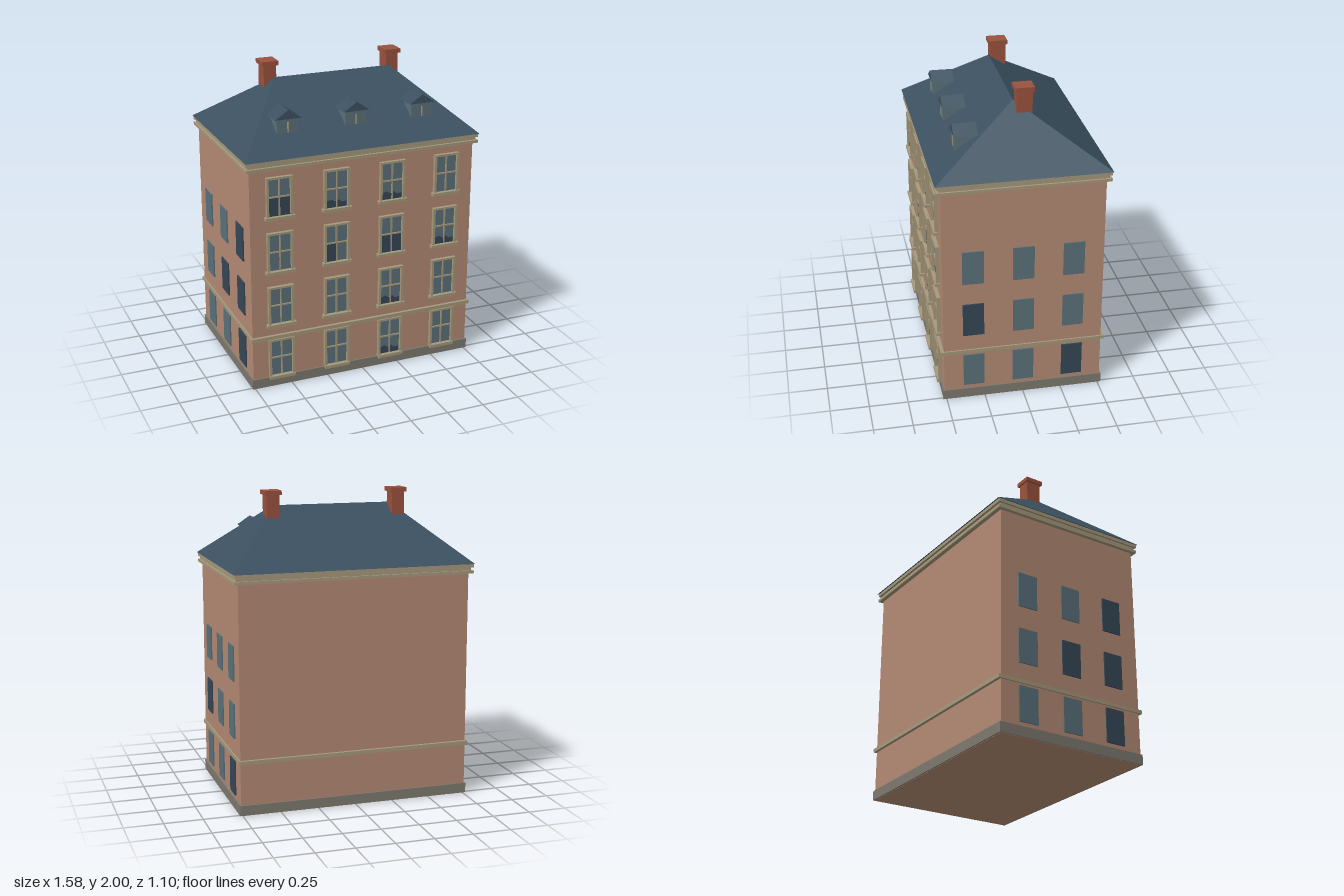
import * as THREE from 'three';

const mat = (name, color) => Object.assign(new THREE.MeshStandardMaterial({ color }), { name });
const M = {
  brick: mat('brick', 0xb48a74),
  stone: mat('trim stone', 0xa6997c),
  plinth: mat('plinth stone', 0x7d796f),
  slate: mat('roof slate', 0x3b5060),
  clay: mat('chimney clay', 0x9a523d),
  glass: mat('glass', 0x5b717a),
  dark: mat('dark glass', 0x354756),
};

function add(parent, name, geometry, material, x = 0, y = 0, z = 0) {
  const mesh = new THREE.Mesh(geometry, material);
  mesh.name = name;
  mesh.position.set(x, y, z);
  parent.add(mesh);
  return mesh;
}

// Box given by its centre in x and z, and its bottom and top in y
function block(parent, name, material, w, y0, y1, d, x = 0, z = 0) {
  return add(parent, name, new THREE.BoxGeometry(w, y1 - y0, d), material, x, (y0 + y1) / 2, z);
}

function group(parent, name, x = 0, y = 0, z = 0) {
  const g = new THREE.Group();
  g.name = name;
  g.position.set(x, y, z);
  parent.add(g);
  return g;
}

const polygon = (pts) => new THREE.Shape(pts.map(([x, y]) => new THREE.Vector2(x, y)));
const extrude = (shape, depth) => new THREE.ExtrudeGeometry(shape, { depth, bevelEnabled: false });

// Hipped roof from its eaves corners and ridge ends
function hippedRoof(w, d, y0, ridge, y1) {
  const P = [[-w, y0, d], [w, y0, d], [w, y0, -d], [-w, y0, -d], [-ridge, y1, 0], [ridge, y1, 0]];
  const faces = [0, 1, 5, 0, 5, 4, 1, 2, 5, 2, 3, 4, 2, 4, 5, 3, 0, 4, 0, 3, 2, 0, 2, 1];
  const g = new THREE.BufferGeometry();
  g.setAttribute('position', new THREE.Float32BufferAttribute(faces.flatMap((i) => P[i]), 3));
  g.computeVertexNormals();
  return g;
}

// Surround with an open middle
const surround = polygon([[-0.086, 0.015], [0.086, 0.015], [0.086, 0.275], [-0.086, 0.275]]);
surround.holes.push(polygon([[-0.071, 0.02], [-0.071, 0.262], [0.071, 0.262], [0.071, 0.02]]));
const surroundGeometry = extrude(surround, 0.024);

// Low dark silhouette behind the lower panes
const shadeGeometry = extrude(polygon([
  [-0.066, 0.02], [0.066, 0.02], [0.066, 0.055], [0.035, 0.052], [0.015, 0.07],
  [-0.01, 0.058], [-0.035, 0.075], [-0.066, 0.065],
]), 0.003);

// kind: p plain, d dark lower sash, l dark lower left pane, s silhouette
function frontWindow(parent, x, y, kind, ground) {
  const w = group(parent, 'frontWindow', x, y, 0.51);
  add(w, 'windowSurround', surroundGeometry, M.stone, 0, 0, 0.002);
  block(w, 'windowSill', M.stone, ground ? 0.172 : 0.194, 0, 0.02, 0.035, 0, 0.0175);
  block(w, 'windowGlass', M.glass, 0.144, 0.018, 0.264, 0.008, 0, 0.004);
  if (kind === 'd') block(w, 'darkSash', M.dark, 0.142, 0.02, 0.14, 0.004, 0, 0.009);
  if (kind === 'l') block(w, 'darkPane', M.dark, 0.071, 0.02, 0.14, 0.004, -0.0355, 0.009);
  if (kind === 's') add(w, 'darkShade', shadeGeometry, M.dark, 0, 0, 0.008);
  block(w, 'mullion', M.stone, 0.009, 0.02, 0.262, 0.012, 0, 0.01);
  block(w, 'transom', M.stone, 0.142, 0.14, 0.149, 0.012, 0, 0.01);
}

function dormer(parent, x) {
  const d = group(parent, 'dormer', x, 0, 0);
  block(d, 'dormerBody', M.glass, 0.145, 1.64, 1.737, 0.14, 0, 0.312);
  block(d, 'dormerMullion', M.stone, 0.009, 1.65, 1.715, 0.006, 0, 0.384);
  const gable = polygon([[-0.087, 1.735], [0.087, 1.735], [0, 1.793]]);
  add(d, 'dormerRoof', extrude(gable, 0.15), M.slate, 0, 0, 0.24);
}

export function createModel() {
  const house = new THREE.Group();
  house.name = 'townHouse';

  // Walls and horizontal courses
  block(house, 'walls', M.brick, 1.52, 0, 1.52, 1.024);
  block(house, 'plinth', M.plinth, 1.536, 0.002, 0.067, 1.044);
  block(house, 'stringCourse', M.stone, 1.54, 0.337, 0.361, 1.064);
  block(house, 'lowerCornice', M.stone, 1.57, 1.475, 1.494, 1.08);
  block(house, 'corniceNeck', M.stone, 1.545, 1.494, 1.515, 1.05);
  block(house, 'upperCornice', M.stone, 1.57, 1.515, 1.537, 1.08);

  // Front windows, from the ground floor up
  ['ppsp', 'ppsp', 'plds', 'dssp'].forEach((row, floor) => {
    [-0.57, -0.19, 0.19, 0.57].forEach((x, i) => {
      frontWindow(house, x, 0.06 + floor * 0.3633, row[i], floor === 0);
    });
  });

  // Side windows, front to back on each floor
  const sides = [[1, ['ggd', 'dgg', 'ggg']], [-1, ['dgg', 'ddg', 'dgg']]];
  for (const [side, rows] of sides) {
    rows.forEach((row, floor) => {
      [0.32, 0, -0.32].forEach((z, i) => {
        const y = 0.095 + floor * 0.373;
        block(house, 'sideWindow', row[i] === 'd' ? M.dark : M.glass, 0.009, y, y + 0.226, 0.135, side * 0.7635, z);
      });
    });
  }

  // Roof, dormers and chimneys
  add(house, 'roof', hippedRoof(0.79, 0.548, 1.537, 0.4, 1.897), M.slate);
  for (const x of [-0.455, 0, 0.455]) dormer(house, x);
  for (const side of [-1, 1]) {
    const c = group(house, 'chimney', side * 0.425, 0, -0.06);
    block(c, 'chimneyShaft', M.clay, 0.084, 1.7, 1.975, 0.1);
    block(c, 'chimneyCap', M.clay, 0.11, 1.972, 2, 0.122);
  }
  return house;
}
